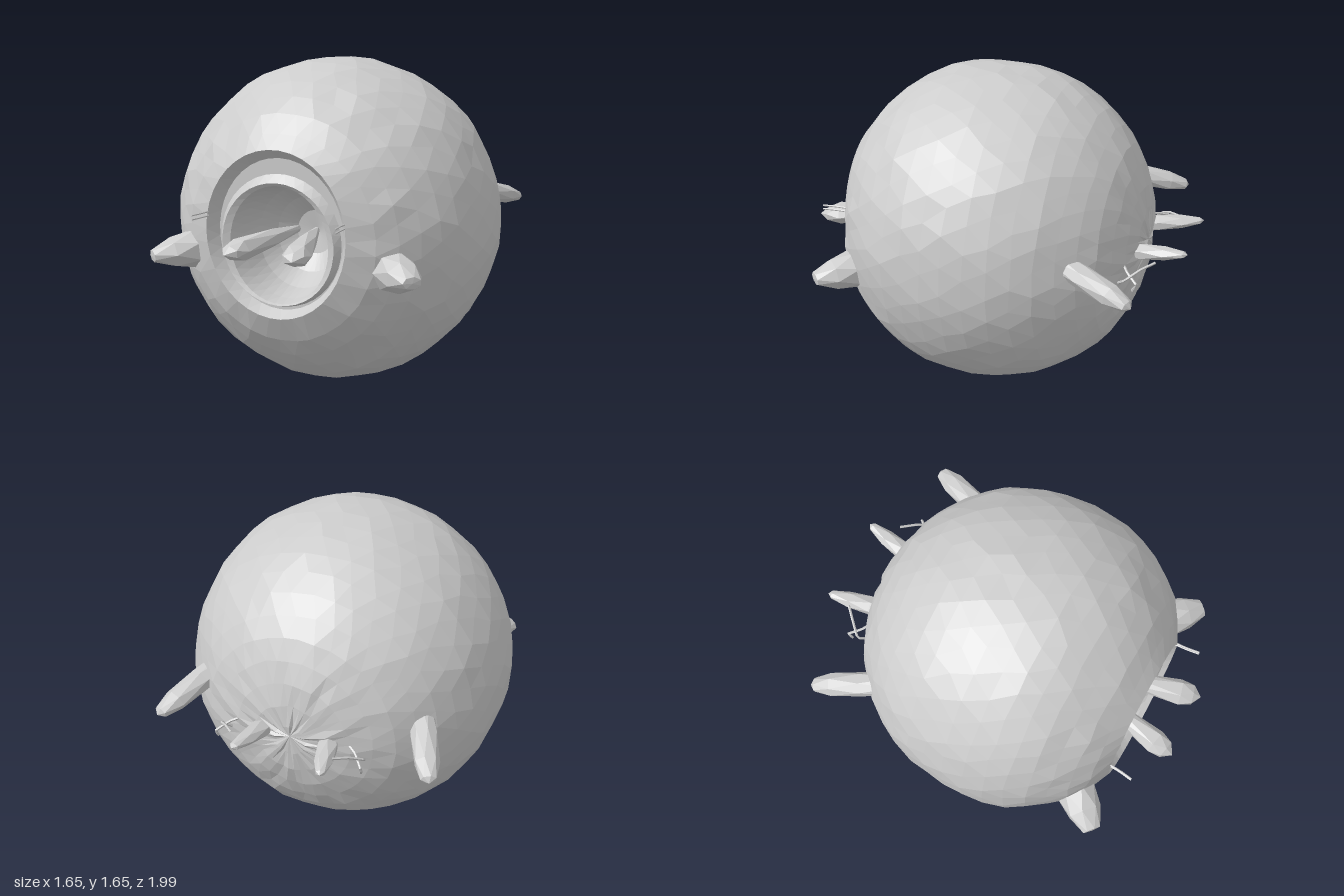
import * as THREE from 'three';

const stone = new THREE.MeshStandardMaterial({ color: 0xcccccc, flatShading: true });
stone.name = 'pale stone';

let seed = 7;
const rand = () => {
  seed = (seed * 16807) % 2147483647;
  return seed / 2147483647 - 0.5;
};

// Skin a row of elliptical rings { z, rx, ry, cx, cy, jitter } along z.
function loft(rings, sides) {
  const pos = [], index = [];
  rings.forEach(({ z, rx, ry, cx = 0, cy = 0, jitter = 0 }, i) => {
    for (let j = 0; j < sides; j++) {
      const a = ((j + (i % 2) * 0.5) / sides) * Math.PI * 2 + rand() * jitter * 3;
      const k = 1 + rand() * jitter;
      pos.push(cx + Math.cos(a) * rx * k, cy + Math.sin(a) * ry * k, z + rand() * jitter);
    }
  });
  for (let i = 0; i < rings.length - 1; i++) {
    for (let j = 0; j < sides; j++) {
      const n = (j + 1) % sides;
      const a = i * sides + j, b = i * sides + n;
      const c = a + sides, d = b + sides;
      if (i % 2) index.push(a, b, d, a, d, c);
      else index.push(a, b, c, b, d, c);
    }
  }
  const indexed = new THREE.BufferGeometry();
  indexed.setAttribute('position', new THREE.Float32BufferAttribute(pos, 3));
  indexed.setIndex(index);
  const geometry = indexed.toNonIndexed();
  geometry.computeVertexNormals();
  return geometry;
}

function add(group, name, geometry) {
  const mesh = new THREE.Mesh(geometry, stone);
  mesh.name = name;
  group.add(mesh);
  return mesh;
}

// Faceted stub from base to tip; profile lists [fraction along, width factor, height factor].
function stub(group, name, base, tip, halfWidth, halfHeight, profile, sides = 7) {
  const from = new THREE.Vector3(...base), to = new THREE.Vector3(...tip);
  const length = from.distanceTo(to);
  const rings = profile.map(([t, w, h]) => ({
    z: t * length, rx: halfWidth * w, ry: halfHeight * h,
  }));
  const mesh = add(group, name, loft(rings, sides));
  mesh.position.copy(from);
  mesh.lookAt(to);
}

// Thin twig bent through a few points.
function twig(group, name, points, radius = 0.007) {
  const path = new THREE.CurvePath();
  const v = points.map((p) => new THREE.Vector3(...p));
  for (let i = 1; i < v.length; i++) path.add(new THREE.LineCurve3(v[i - 1], v[i]));
  add(group, name, new THREE.TubeGeometry(path, (v.length - 1) * 3, radius, 5));
}

export function createModel() {
  const model = new THREE.Group();
  model.name = 'hollowBoulder';

  // Body outline as radius against z, swept around the z axis
  const outline = new THREE.CatmullRomCurve3([
    [0.08, -0.76], [0.2, -0.745], [0.34, -0.7], [0.52, -0.6], [0.70, -0.4], [0.79, -0.2],
    [0.822, 0], [0.815, 0.2], [0.755, 0.4], [0.61, 0.6], [0.5, 0.69],
  ].map(([r, z]) => new THREE.Vector3(r, 0, z)));
  const bodyRings = [{ z: -0.762, rx: 0, ry: 0, cy: 0.85 }];
  for (const p of outline.getSpacedPoints(18)) {
    bodyRings.push({ z: p.z, rx: p.x, ry: p.x, cy: 0.826, jitter: 0.014 });
  }

  // Flat oval rim at the front
  const rim = { z: 0.75, rx: 0.375, ry: 0.405, cy: 0.85 };
  bodyRings.push(rim);
  add(model, 'body', loft(bodyRings, 38));

  // Stepped rim and the bowl behind it
  add(model, 'cavity', loft([
    rim,
    { z: 0.69, rx: 0.335, ry: 0.365, cy: 0.845 },
    { z: 0.69, rx: 0.325, ry: 0.32, cy: 0.815 },
    { z: 0.725, rx: 0.3, ry: 0.295, cy: 0.8 },
    { z: 0.71, rx: 0.265, ry: 0.285, cy: 0.795 },
    { z: 0.62, rx: 0.245, ry: 0.275, cy: 0.793 },
    { z: 0.5, rx: 0.225, ry: 0.25, cy: 0.793 },
    { z: 0.4, rx: 0.175, ry: 0.19, cy: 0.793 },
    { z: 0.33, rx: 0.1, ry: 0.11, cy: 0.793 },
    { z: 0.31, rx: 0, ry: 0, cy: 0.793 },
  ], 38));

  // Front outer stubs: broad at the root, blunt at the end
  const blunt = [[0, 1, 1], [0.45, 1, 1], [0.75, 0.85, 0.75], [1, 0.45, 0.3], [1.01, 0, 0]];
  stub(model, 'frontRightStub', [-0.4, 0.74, 0.5], [-0.65, 0.7, 0.81], 0.105, 0.1, blunt);
  stub(model, 'frontLeftStub', [0.43, 0.71, 0.5], [0.71, 0.7, 0.76], 0.105, 0.1, blunt);

  // Back outer stubs: longer and flatter
  const long = [[0, 0.9, 0.9], [0.4, 1, 1], [0.75, 0.95, 0.9], [0.95, 0.6, 0.5], [1, 0, 0]];
  stub(model, 'backLeftStub', [0.5, 0.95, -0.4], [0.67, 0.845, -0.85], 0.065, 0.055, long);
  stub(model, 'backRightStub', [-0.53, 0.95, -0.4], [-0.72, 0.83, -0.81], 0.065, 0.055, long);

  // Petals reaching out of the bowl
  const petal = [[0, 0.2, 0.3], [0.35, 0.6, 0.8], [0.8, 1, 1], [0.92, 0.8, 0.6], [1, 0, 0]];
  stub(model, 'frontRightPetal', [-0.03, 0.83, 0.45], [-0.13, 0.79, 0.99], 0.065, 0.055, petal, 6);
  stub(model, 'frontLeftPetal', [0.07, 0.83, 0.45], [0.22, 0.79, 0.98], 0.07, 0.055, petal, 6);

  // Slim petals at the back
  const slim = [[0, 0.8, 0.8], [0.4, 1, 1], [0.7, 0.85, 0.8], [0.95, 0.45, 0.4], [1, 0, 0]];
  stub(model, 'backLeftPetal', [0.13, 0.83, -0.62], [0.185, 0.9, -1.0], 0.052, 0.04, slim, 6);
  stub(model, 'backRightPetal', [-0.16, 0.83, -0.62], [-0.255, 0.87, -0.99], 0.052, 0.04, slim, 6);

  // Paired twigs beside the rim and forked twigs at the back
  for (const [side, label] of [[1, 'Left'], [-1, 'Right']]) {
    for (const y of [0.915, 0.935]) {
      twig(model, `front${label}Twig`,
        [[side * 0.365, y, 0.7], [side * 0.37, y, 0.8], [side * 0.38, y, 0.87]], 0.005);
    }
    twig(model, `back${label}Branch`, [
      [side * 0.26, 0.87, -0.86], [side * 0.32, 0.85, -0.8],
      [side * 0.38, 0.81, -0.74], [side * 0.34, 0.77, -0.7],
    ]);
    twig(model, `back${label}Fork`, [
      [side * 0.27, 0.85, -0.7], [side * 0.33, 0.83, -0.74],
      [side * 0.38, 0.8, -0.8], [side * 0.375, 0.76, -0.78],
    ]);
  }

  return model;
}
